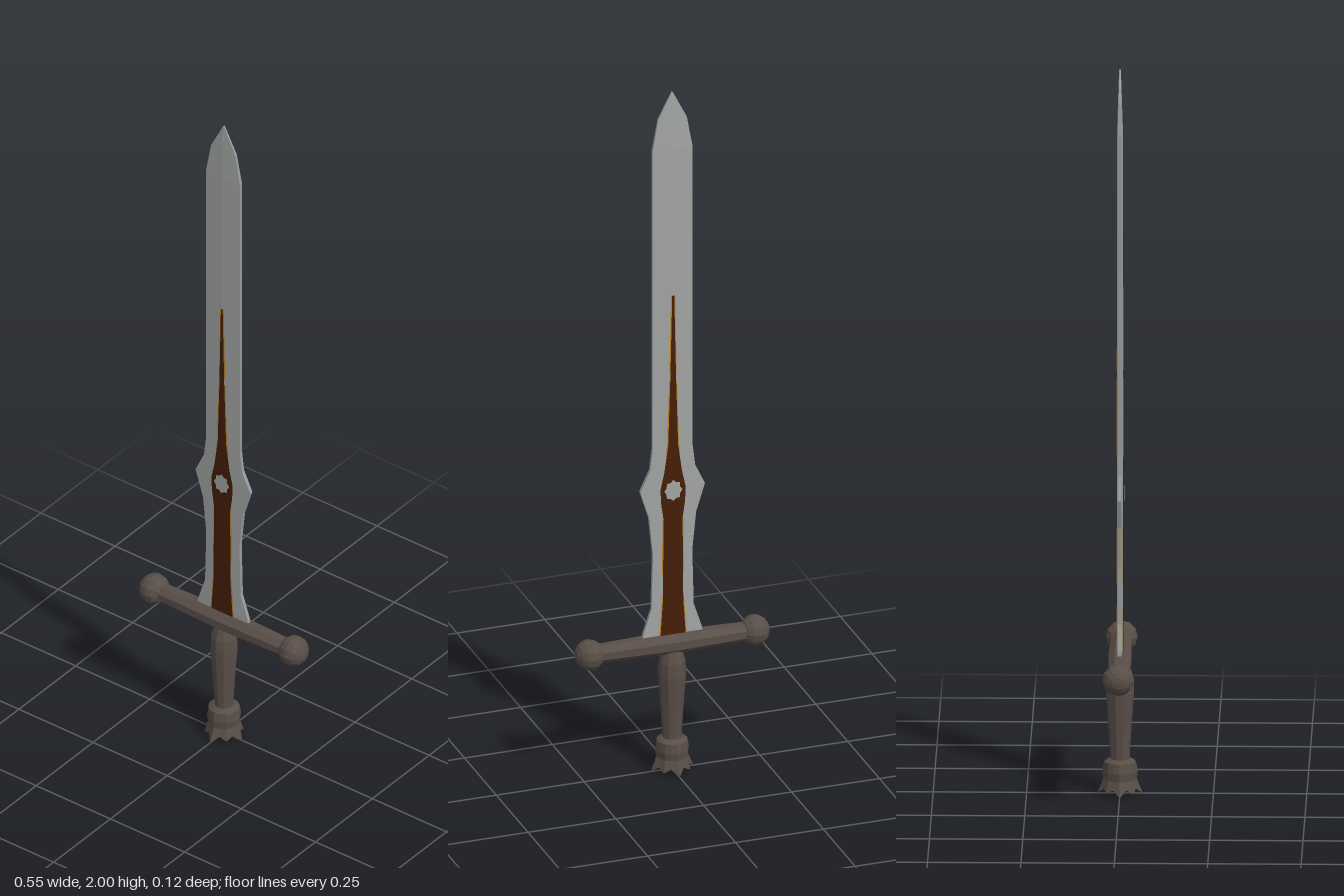
import * as THREE from 'three';

const mat = (name, color) => {
  const m = new THREE.MeshStandardMaterial({ color, flatShading: true });
  m.name = name;
  return m;
};

// half widths by height: [y, half width]
const BLADE = [[0.37, 0.09], [0.41, 0.083], [0.48, 0.06], [0.64, 0.056], [0.75, 0.067], [0.83, 0.092],
  [0.89, 0.064], [0.95, 0.057], [1.4, 0.057], [1.83, 0.057], [1.92, 0.041], [2, 0.0005]];
const INLAY = [[0.38, 0.037], [0.5, 0.029], [0.74, 0.027], [0.79, 0.034], [0.83, 0.036], [0.88, 0.025],
  [0.96, 0.014], [1.16, 0.008], [1.3, 0.005], [1.4, 0.003]];
// stretches of the inlay edge that carry gold
const GOLD = [[0.38, 0.52], [0.58, 0.74], [0.93, 1.15], [1.17, 1.4]];

function widthAt(table, y) {
  for (let i = 1; i < table.length; i++) {
    const [y0, w0] = table[i - 1], [y1, w1] = table[i];
    if (y <= y1) return w0 + (w1 - w0) * (y - y0) / (y1 - y0);
  }
  return table[table.length - 1][1];
}

// skin over a stack of sections, each a list of [x, y, z]
function loft(sections, closed) {
  const n = sections[0].length, index = [];
  for (let i = 0; i < sections.length - 1; i++) {
    for (let j = 0; j < (closed ? n : n - 1); j++) {
      const k = (j + 1) % n, a = i * n + j, b = i * n + k;
      index.push(a, b, b + n, a, b + n, a + n);
    }
  }
  const g = new THREE.BufferGeometry();
  g.setAttribute('position', new THREE.Float32BufferAttribute(sections.flat(2), 3));
  g.setIndex(index);
  g.computeVertexNormals();
  return g;
}

// blade thickness: shallow ridge, blunt edge, thinning at the tip
const RIDGE = 0.008, EDGE = 0.005;
const thin = y => (y > 1.83 ? 1 - 0.7 * (y - 1.83) / 0.17 : 1);
const surfaceZ = (x, y) => thin(y) * (RIDGE - (RIDGE - EDGE) * Math.abs(x) / widthAt(BLADE, y));

// thin plate that follows the blade face
function inlayGeometry(from, to, grow, lift) {
  const ys = [...new Set([from, to, ...[...BLADE, ...INLAY].map(p => p[0])])]
    .filter(y => y >= from && y <= to).sort((a, b) => a - b);
  return loft(ys.map(y => {
    const w = widthAt(INLAY, y) + grow;
    return [-w, 0, w].map(x => [x, y, surfaceZ(x, y) + lift]);
  }), false);
}

export function createModel() {
  const steel = mat('blade steel', 0xa2a5a4);
  const rimSteel = mat('blade rim steel', 0x949c9f);
  const iron = mat('dark iron', 0x594e48);
  const brown = mat('brown inlay', 0x451e06);
  const gold = mat('gold trim', 0xbc801e);

  const model = new THREE.Group();
  const add = (name, geometry, material, parent = model) => {
    const m = new THREE.Mesh(geometry, material);
    m.name = name;
    parent.add(m);
    return m;
  };

  // blade: each half has one face, one rim, the inlay with its trim, and a gem
  const faceGeometry = loft(BLADE.map(([y, w]) => [-w, 0, w].map(x => [x, y, surfaceZ(x, y)])), false);
  const rimGeometry = loft(BLADE.map(([y, w]) => [1, -1].map(s => [w, y, s * surfaceZ(w, y)])), false);
  const gemShape = new THREE.Shape(Array.from({ length: 16 }, (_, i) => {
    const t = i * Math.PI / 8, r = i % 2 ? 0.021 : 0.026;
    return new THREE.Vector2(r * Math.cos(t), 1.2 * r * Math.sin(t));
  }));
  for (const [side, angle] of [['front', 0], ['back', Math.PI]]) {
    const half = new THREE.Group();
    half.name = side + 'Blade';
    half.rotation.y = angle;
    add('bladeFace', faceGeometry, steel, half);
    add('bladeRim', rimGeometry, rimSteel, half);
    add('brownInlay', inlayGeometry(0.38, 1.4, 0, 0.002), brown, half);
    for (const [from, to] of GOLD) add('goldTrim', inlayGeometry(from, to, 0.0028, 0.001), gold, half);
    const gem = add('gem', new THREE.ShapeGeometry(gemShape), steel, half);
    gem.position.set(0, 0.825, RIDGE + 0.003);
    model.add(half);
  }

  // crossguard: two octagonal halves thinning towards the balls
  for (const s of [1, -1]) {
    const bar = new THREE.CylinderGeometry(0.028, 0.034, 0.21, 8, 1);
    bar.rotateY(Math.PI / 8);
    bar.rotateZ(-s * Math.PI / 2);
    const arm = add(s > 0 ? 'leftGuardArm' : 'rightGuardArm', bar, iron);
    arm.position.set(s * 0.105, 0.372, 0);
    arm.scale.y = 0.92;

    const sphere = new THREE.SphereGeometry(0.043, 12, 8);
    sphere.rotateZ(Math.PI / 2);
    const ball = add(s > 0 ? 'leftGuardBall' : 'rightGuardBall', sphere, iron);
    ball.position.set(s * 0.235, 0.372, 0);
    ball.scale.x = 0.94;
  }

  // grip
  const profile = [[0.026, 0.08], [0.027, 0.12], [0.032, 0.2], [0.038, 0.28], [0.036, 0.32], [0.024, 0.36]];
  add('grip', new THREE.LatheGeometry(profile.map(p => new THREE.Vector2(...p)), 10), iron);

  // crown pommel: four long and four short points around a shallow hollow
  const ring = (y, valley, short = valley, long = valley, drop = 0) => Array.from({ length: 16 }, (_, j) => {
    const t = j * Math.PI / 8;
    const [r, d] = j % 2 ? [valley, 0] : j % 4 ? [short, drop * 0.6] : [long, drop];
    return [r * Math.sin(t), y - d, r * Math.cos(t)];
  });
  add('pommel', loft([
    ring(0.03, 0), ring(0.017, 0.047, 0.053, 0.061, 0.017), ring(0.04, 0.041, 0.043, 0.045),
    ring(0.062, 0.044, 0.046, 0.048), ring(0.088, 0.042), ring(0.096, 0.03), ring(0.098, 0),
  ], true), iron);

  return model;
}
